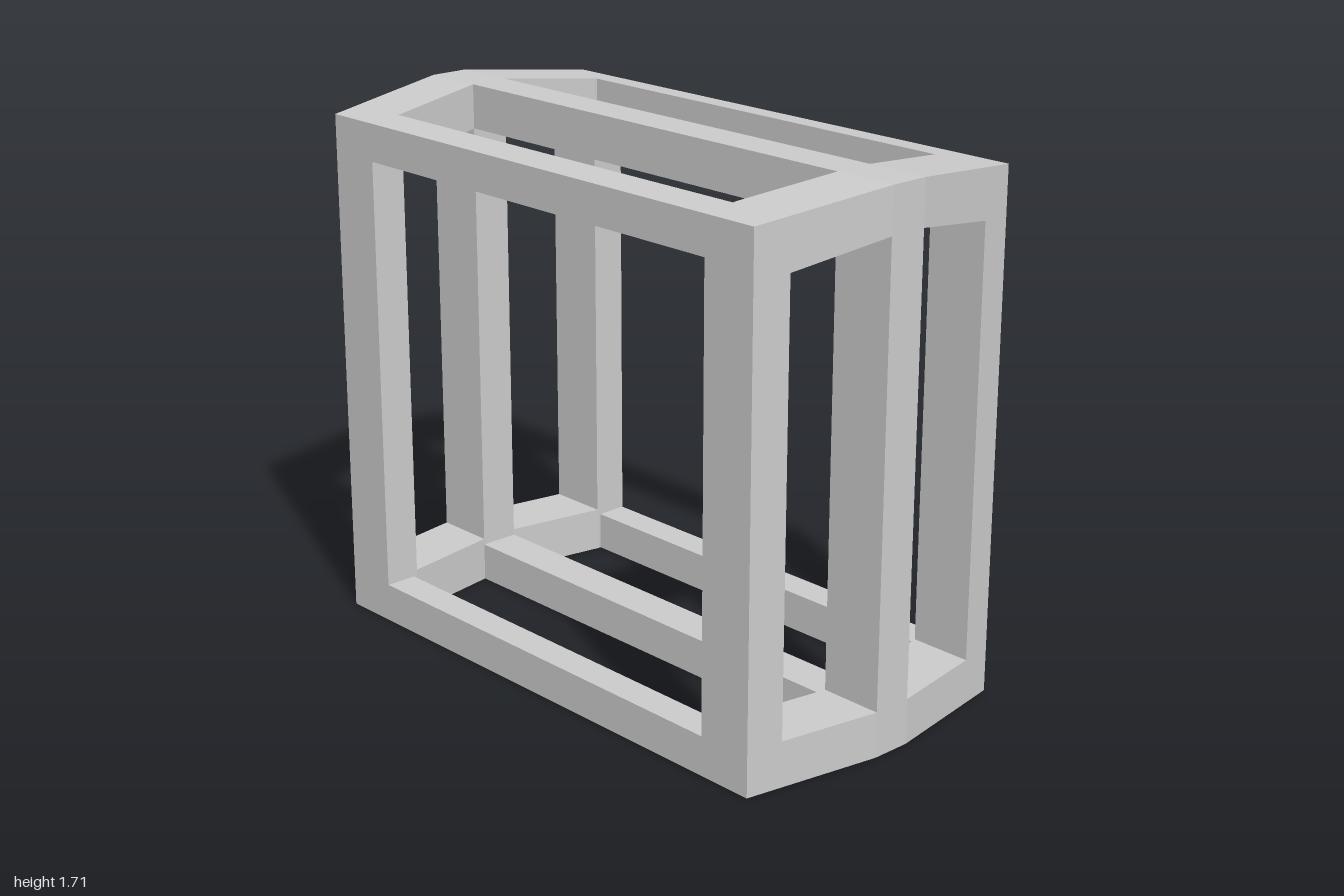
import * as THREE from 'three';

const material = new THREE.MeshStandardMaterial({ color: 0xcccccc, flatShading: true });

// Closed solid through four-cornered sections, each counter-clockwise seen from the far end
function loft(sections) {
  const pos = [];
  const quad = (a, b, c, d) => pos.push(...a, ...b, ...c, ...a, ...c, ...d);
  for (let s = 0; s < sections.length - 1; s++) {
    const a = sections[s], b = sections[s + 1];
    for (let i = 0; i < 4; i++) {
      const j = (i + 1) % 4;
      quad(a[i], a[j], b[j], b[i]);
    }
  }
  const first = sections[0], last = sections[sections.length - 1];
  quad(first[3], first[2], first[1], first[0]);
  quad(...last);
  const geo = new THREE.BufferGeometry();
  geo.setAttribute('position', new THREE.Float32BufferAttribute(pos, 3));
  geo.computeVertexNormals();
  return geo;
}

// Box given by its extents
function block(x0, x1, y0, y1, z0, z1) {
  return new THREE.BoxGeometry(x1 - x0, y1 - y0, z1 - z0)
    .translate((x0 + x1) / 2, (y0 + y1) / 2, (z0 + z1) / 2);
}

// Half-width stations: flat nose, window edge, outer side
const NOSE = 0.065, WINDOW = 0.395, SIDE = 0.512;
const stations = [-SIDE, -WINDOW, -NOSE, NOSE, WINDOW, SIDE];
const ramp = (x, atNose, atEnd, end) =>
  THREE.MathUtils.lerp(atNose, atEnd, THREE.MathUtils.clamp((Math.abs(x) - NOSE) / (end - NOSE), 0, 1));

// Bent crossbar of an end frame; the nose is pushed outward
function crossbar(bottom, top) {
  return loft(stations.map((x) => {
    const zi = ramp(x, 0.795, 0.737, WINDOW), zo = ramp(x, 1, 0.922, SIDE);
    const yb = bottom(x), yt = top(x);
    return [[x, yb, zi], [x, yt, zi], [x, yt, zo], [x, yb, zo]];
  }));
}

// Rail along z from a profile in x and y
function rail(profile, halfLength) {
  return loft([-halfLength, halfLength].map((z) => profile.map(([x, y]) => [x, y, z])));
}

export function createModel() {
  const model = new THREE.Group();
  const add = (parent, name, geo) => {
    const mesh = new THREE.Mesh(geo, material);
    mesh.name = name;
    parent.add(mesh);
  };
  const roofY = (x) => ramp(x, 1.705, 1.655, SIDE);

  // End frames: two corner posts, a middle post and bent crossbars
  for (const [name, turn] of [['front', 0], ['back', Math.PI]]) {
    const frame = new THREE.Group();
    frame.name = name + 'Frame';
    frame.rotation.y = turn;
    add(frame, 'topCrossbar', crossbar((x) => ramp(x, 1.562, 1.512, WINDOW), roofY));
    add(frame, 'bottomCrossbar', crossbar(() => 0.145, () => 0).scale(1, 1, 1));
    frame.children[1].geometry.dispose();
    frame.children[1].geometry = crossbar(() => 0, () => 0.145);
    add(frame, 'middlePost', block(-NOSE, NOSE, 0.145, 1.562, 0.795, 1));
    // Corner posts reach the side, with the outer face following the bent front
    const cornerZ = ramp(WINDOW, 1, 0.922, SIDE);
    for (const s of [1, -1]) {
      const xs = s > 0 ? [WINDOW, SIDE] : [-SIDE, -WINDOW];
      add(frame, s > 0 ? 'leftPost' : 'rightPost', loft(xs.map((x) => {
        const zo = Math.abs(x) === SIDE ? 0.922 : cornerZ;
        return [[x, 0.145, 0.737], [x, 1.512, 0.737], [x, 1.512, zo], [x, 0.145, zo]];
      })));
    }
    model.add(frame);
  }

  // Side rails, with a sloped top and underside on the upper one
  const inner = 0.408;
  for (const [name, turn] of [['left', 0], ['right', Math.PI]]) {
    const side = new THREE.Group();
    side.name = name + 'Rails';
    side.rotation.y = turn;
    add(side, 'topRail', rail([[inner, 1.512], [SIDE, 1.535], [SIDE, 1.655], [inner, roofY(inner)]], 0.737));
    add(side, 'bottomRail', block(inner, SIDE, 0, 0.125, -0.737, 0.737));
    model.add(side);
  }

  // Middle rails along roof and floor
  add(model, 'topMiddleRail', block(-NOSE, NOSE, 1.562, 1.705, -0.795, 0.795));
  add(model, 'bottomMiddleRail', block(-NOSE, NOSE, 0, 0.125, -0.795, 0.795));
  return model;
}
